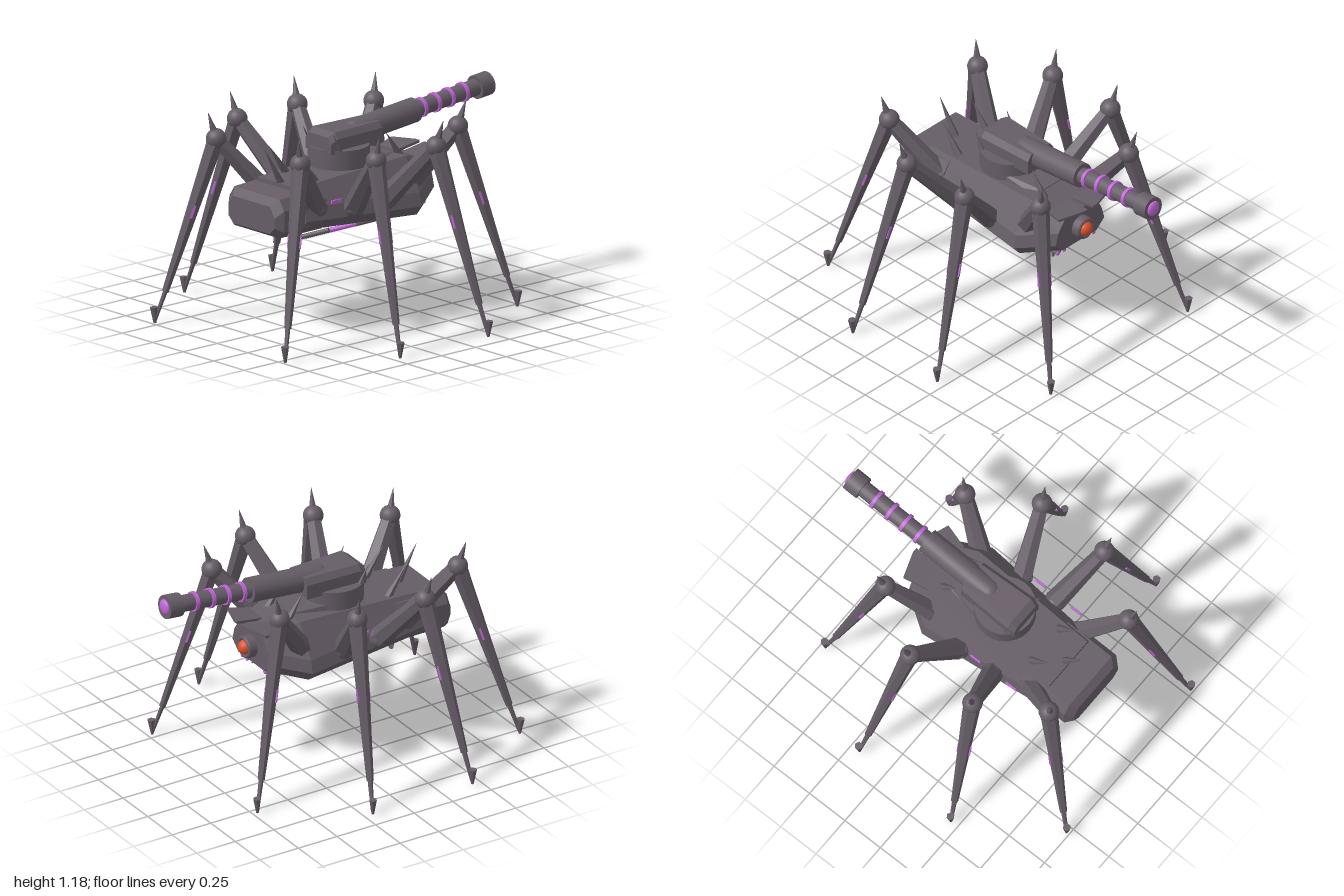
import * as THREE from 'three';

const mat = (name, color, flatShading = false) => {
  const m = new THREE.MeshStandardMaterial({ color });
  m.name = name;
  m.flatShading = flatShading;
  return m;
};

export function createModel() {
  const root = new THREE.Group();
  root.name = 'spiderWalker';
  const metal = mat('grey metal', 0x665d67, true);
  const smooth = metal.clone();
  smooth.flatShading = false;
  const glow = mat('violet glow', 0xc065d8);
  const red = mat('orange eye', 0xd9502a);
  const V = (x, y, z) => new THREE.Vector3(x, y, z);
  const UP = V(0, 1, 0);

  const add = (name, geo, material, parent = root) => {
    const m = new THREE.Mesh(geo, material);
    m.name = name;
    parent.add(m);
    return m;
  };
  // tapered bar from a (radius ra) to b (radius rb)
  const bar = (name, a, b, ra, rb, sides, material = metal, parent = root) => {
    const d = b.clone().sub(a);
    const m = add(name, new THREE.CylinderGeometry(rb, ra, d.length(), sides), material, parent);
    m.position.copy(a).addScaledVector(d, 0.5);
    m.quaternion.setFromUnitVectors(UP, d.normalize());
    return m;
  };
  const ball = (name, p, r, material, parent = root) => {
    const m = add(name, new THREE.SphereGeometry(r, 20, 14), material, parent);
    m.position.copy(p);
    return m;
  };
  // closed skin over mirrored half sections, ordered front to back;
  // each section is [z, [x, y] from the bottom to the top]
  const loft = (name, sections) => {
    const rings = sections.map(([z, pts]) => [
      ...pts.map(([x, y]) => V(x, y, z)),
      ...pts.slice().reverse().map(([x, y]) => V(-x, y, z)),
    ]);
    const tris = [];
    const n = rings[0].length;
    for (let k = 0; k < rings.length - 1; k++) {
      const a = rings[k], b = rings[k + 1];
      for (let i = 0; i < n; i++) {
        const j = (i + 1) % n;
        tris.push(a[i], b[i], a[j], b[i], b[j], a[j]);
      }
    }
    const first = rings[0], last = rings[rings.length - 1];
    for (let i = 1; i < n - 1; i++) {
      tris.push(first[0], first[i], first[i + 1], last[0], last[i + 1], last[i]);
    }
    const g = new THREE.BufferGeometry().setFromPoints(tris);
    g.computeVertexNormals();
    return add(name, g, metal);
  };

  // armoured hull
  const hullRing = (z, yb, yt, wb, wm, wt) =>
    [z, [[wb, yb], [wm, yb + 0.055], [wm - 0.02, yb + 0.13], [wt, yt]]];
  loft('hull', [
    hullRing(0.56, 0.6, 0.83, 0.2, 0.24, 0.16),
    hullRing(-0.22, 0.56, 0.875, 0.27, 0.315, 0.18),
    hullRing(-0.42, 0.61, 0.82, 0.13, 0.19, 0.11),
  ]);
  // chamfered nose block
  const noseRing = (z, w, yb, yt) =>
    [z, [[w - 0.04, yb], [w, yb + 0.04], [w, yt - 0.06], [w - 0.04, yt]]];
  loft('noseBlock', [
    noseRing(0.75, 0.19, 0.605, 0.76),
    noseRing(0.71, 0.225, 0.58, 0.8),
    noseRing(0.4, 0.225, 0.58, 0.815),
  ]);

  // turret
  const base = add('turretRing', new THREE.CylinderGeometry(0.17, 0.17, 0.11, 24), smooth);
  base.position.set(0, 0.915, 0.11);
  loft('turretMount', [
    [0.08, [[0.15, 0.85], [0.14, 0.9]]],
    [-0.21, [[0.12, 0.85], [0.08, 0.88]]],
  ]);
  const boxRing = (z, w, yt) => [z, [[w, 0.95], [w, yt - 0.035], [w - 0.025, yt]]];
  loft('turretHousing', [boxRing(0.26, 0.105, 1.045), boxRing(0.22, 0.115, 1.07), boxRing(-0.12, 0.1, 1.07)]);

  // cannon, rising slightly towards its muzzle
  const aim = z => V(0, 1.015 - 0.095 * z, z);
  bar('cannonSleeve', aim(0), aim(-0.44), 0.07, 0.07, 24, smooth);
  ball('cannonBreech', aim(0), 0.07, smooth);
  bar('cannonBarrel', aim(-0.43), aim(-0.9), 0.047, 0.047, 20, smooth);
  bar('muzzle', aim(-0.89), aim(-0.98), 0.067, 0.067, 24, smooth);
  for (const z of [-0.49, -0.59, -0.69, -0.795]) {
    bar('barrelRing', aim(z + 0.01), aim(z - 0.01), 0.056, 0.056, 24, glow);
  }
  const tip = ball('muzzleLens', aim(-0.978), 0.045, glow);
  tip.scale.z = 0.45;

  // eye in the rear plate
  bar('eyeSocket', V(0, 0.71, -0.4), V(0, 0.71, -0.46), 0.065, 0.065, 20, smooth);
  const rim = add('eyeRim', new THREE.TorusGeometry(0.053, 0.012, 8, 24), smooth);
  rim.position.set(0, 0.71, -0.46);
  ball('eye', V(0, 0.71, -0.457), 0.043, red);

  for (const s of [1, -1]) {
    // hood plates over the eye
    const outline = [[0.02, 0.2], [0.13, 0.2], [0.195, 0.45], [0.05, 0.5], [0.02, 0.5]];
    const shape = new THREE.Shape(outline.map(([x, y]) => new THREE.Vector2(s * x, y)));
    const g = new THREE.ExtrudeGeometry(shape, { depth: 0.015, bevelEnabled: false });
    g.rotateX(-Math.PI / 2);
    const p = g.attributes.position;
    for (let i = 0; i < p.count; i++) p.setY(i, p.getY(i) + 0.78 - 0.15 * p.getZ(i));
    g.computeVertexNormals();
    add('hoodPlate', g, metal);

    // back spikes
    bar('backSpike', V(s * 0.12, 0.83, 0.39), V(s * 0.12, 1.0, 0.51), 0.025, 0.001, 6);
    bar('backSpike', V(s * 0.12, 0.84, 0.14), V(s * 0.125, 1.07, 0.26), 0.025, 0.001, 6);
    bar('backSpike', V(s * 0.1, 0.85, -0.25), V(s * 0.1, 1.0, -0.15), 0.025, 0.001, 6);

    // rods under the belly
    [0.36, 0.16, -0.02].forEach((z, i) =>
      bar('bellyRod', V(s * 0.2, 0.565, z), V(s * 0.07, 0.515, z + 0.085), 0.014, 0.014, 10, i === 1 ? glow : smooth));

    // glowing side strips
    for (const [z, y] of [[0.13, 0.75], [0.38, 0.75]]) {
      const strip = add('sideStrip', new THREE.BoxGeometry(0.008, 0.018, 0.07), glow);
      strip.position.set(s * 0.283, y, z);
    }

    // mandibles below the eye
    for (const x of [0.09, 0.14]) {
      bar('mandible', V(s * x, 0.57, -0.22), V(s * x, 0.575, -0.39), 0.014, 0.01, 8);
      bar('mandiblePin', V(s * x, 0.6, -0.35), V(s * x, 0.54, -0.35), 0.009, 0.009, 8);
      bar('mandibleTip', V(s * x, 0.575, -0.385), V(s * x, 0.575, -0.392), 0.012, 0.012, 8, glow);
    }
  }
  bar('noseSpike', V(0, 0.8, 0.52), V(0, 1.03, 0.65), 0.025, 0.001, 6);

  // legs: hip, knee and foot of each of the four pairs
  const pairs = [
    [V(0.2, 0.71, 0.45), V(0.345, 1.035, 0.7), V(0.535, 0, 0.98)],
    [V(0.27, 0.69, 0.24), V(0.57, 1.035, 0.345), V(0.885, 0, 0.45)],
    [V(0.27, 0.69, 0.01), V(0.57, 1.035, -0.095), V(0.885, 0, -0.195)],
    [V(0.2, 0.71, -0.21), V(0.345, 1.035, -0.455), V(0.535, 0, -0.72)],
  ];
  for (const s of [1, -1]) {
    for (const pair of pairs) {
      const [hip, knee, foot] = pair.map(v => V(s * v.x, v.y, v.z));
      const leg = new THREE.Group();
      leg.name = s > 0 ? 'leftLeg' : 'rightLeg';
      root.add(leg);
      const out = foot.clone().sub(knee).setY(0).normalize();
      const ankle = knee.clone().lerp(foot, 0.83);
      ball('hipJoint', hip, 0.06, smooth, leg);
      bar('thigh', hip, knee, 0.062, 0.042, 6, metal, leg);
      ball('kneeJoint', knee, 0.057, smooth, leg);
      bar('shin', knee, ankle, 0.05, 0.02, 6, metal, leg);
      bar('ankle', ankle, foot.clone().addScaledVector(UP, 0.012), 0.014, 0.01, 6, metal, leg);
      const heel = foot.clone().addScaledVector(UP, 0.09).addScaledVector(out, 0.006);
      bar('claw', foot, heel, 0.008, 0.023, 6, metal, leg);
      const spikeTip = knee.clone().addScaledVector(out, 0.045).addScaledVector(UP, 0.148);
      bar('kneeSpike', knee, spikeTip, 0.03, 0.001, 6, metal, leg);

      // thin lights on both flanks of the shin
      const side = V(-out.z, 0, out.x);
      const along = knee.clone().sub(foot).normalize();
      for (const k of [1, -1]) {
        const light = add('shinLight', new THREE.BoxGeometry(0.008, 0.075, 0.012), glow, leg);
        light.position.copy(knee).lerp(foot, 0.39).addScaledVector(side, k * 0.0345);
        light.quaternion.setFromRotationMatrix(
          new THREE.Matrix4().makeBasis(side, along, side.clone().cross(along)));
      }
    }
  }
  return root;
}
